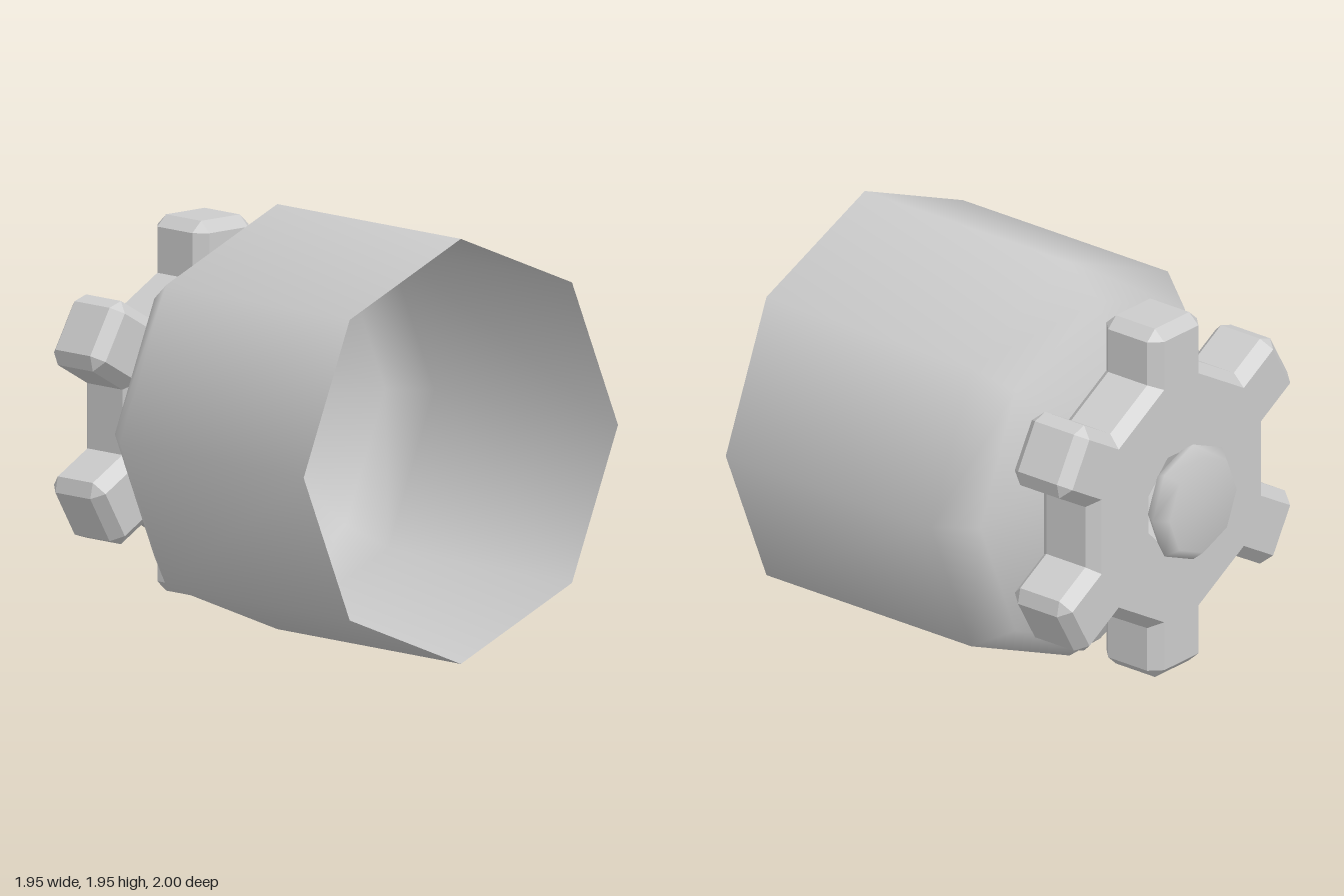
import * as THREE from 'three';

const CENTER_Y = 0.98;
const material = new THREE.MeshStandardMaterial({ color: 0xcccccc, side: THREE.DoubleSide });
const flatMaterial = new THREE.MeshStandardMaterial({ color: 0xcccccc, side: THREE.DoubleSide, flatShading: true });

// Smooth eight-sided turned part along z; profile holds [radius, z] pairs
function turned(name, profile) {
  const points = profile.map(([r, z]) => new THREE.Vector2(r, -z));
  const geometry = new THREE.LatheGeometry(points, 8).rotateX(-Math.PI / 2);
  const mesh = new THREE.Mesh(geometry, material);
  mesh.name = name;
  return mesh;
}

// Six-toothed outline, counter-clockwise, first tooth pointing up
function gearOutline(root, shoulder, tip, halfWidth, tipHalfWidth) {
  const outline = [];
  for (let i = 0; i < 6; i++) {
    const a = Math.PI / 2 + (i * Math.PI) / 3;
    const corners = [
      [root, -halfWidth], [shoulder, -halfWidth], [tip, -tipHalfWidth],
      [tip, tipHalfWidth], [shoulder, halfWidth], [root, halfWidth],
    ];
    for (const [r, w] of corners) {
      outline.push(new THREE.Vector2(r * Math.cos(a) - w * Math.sin(a), r * Math.sin(a) + w * Math.cos(a)));
    }
  }
  return outline;
}

// Wall joining a series of equal-length loops, given as [outline, z] from front to back
function wall(loops) {
  const n = loops[0][0].length;
  const positions = loops.flatMap(([outline, z]) => outline.flatMap((p) => [p.x, p.y, z]));
  const index = [];
  for (let k = 0; k < loops.length - 1; k++) {
    for (let i = 0; i < n; i++) {
      const j = (i + 1) % n;
      const a = k * n + i, b = a + n, c = (k + 1) * n + j, d = k * n + j;
      index.push(a, b, c, a, c, d);
    }
  }
  const geometry = new THREE.BufferGeometry();
  geometry.setAttribute('position', new THREE.Float32BufferAttribute(positions, 3));
  geometry.setIndex(index);
  geometry.computeVertexNormals();
  return geometry;
}

function createGear() {
  const gear = new THREE.Group();
  gear.name = 'gear';
  const front = -0.53, back = -0.87, bevel = 0.055;
  const rim = gearOutline(0.603, 0.815, 0.865, 0.175, 0.12);
  const face = gearOutline(0.577, 0.815, 0.815, 0.12, 0.12);

  // Octagonal bore with flat sides on the axes
  const bore = Array.from({ length: 8 }, (_, i) => {
    const a = ((i + 0.5) * Math.PI) / 4;
    return new THREE.Vector2(0.25 * Math.cos(a), 0.25 * Math.sin(a));
  });

  const add = (name, geometry) => {
    const mesh = new THREE.Mesh(geometry, flatMaterial);
    mesh.name = name;
    gear.add(mesh);
    return mesh;
  };
  add('gearRim', wall([[face, front], [rim, front - bevel], [rim, back + bevel], [face, back]]));
  add('gearBore', wall([[bore.slice().reverse(), front], [bore.slice().reverse(), back]]));

  // Flat faces: drop the tip corners that coincide with the shoulders
  const shape = new THREE.Shape(face.filter((_, i) => i % 6 !== 2 && i % 6 !== 3));
  shape.holes.push(new THREE.Path(bore));
  add('gearFrontFace', new THREE.ShapeGeometry(shape)).position.z = front;
  const backFace = add('gearBackFace', new THREE.ShapeGeometry(shape).rotateY(Math.PI));
  backFace.position.z = back;
  return gear;
}

export function createModel() {
  const model = new THREE.Group();
  model.name = 'valve';
  const body = new THREE.Group();
  body.name = 'body';
  body.position.y = CENTER_Y;
  model.add(body);

  // Hollow cup, open at the front and narrowing to the gear
  body.add(turned('cup', [[0.977, 1], [0.977, -0.21], [0.84, -0.39], [0.385, -0.53]]));
  body.add(createGear());
  // Hollow knob closing the bore at the back
  body.add(turned('knob', [[0.235, -0.87], [0.285, -0.94], [0.235, -1], [0, -1]]));
  return model;
}
